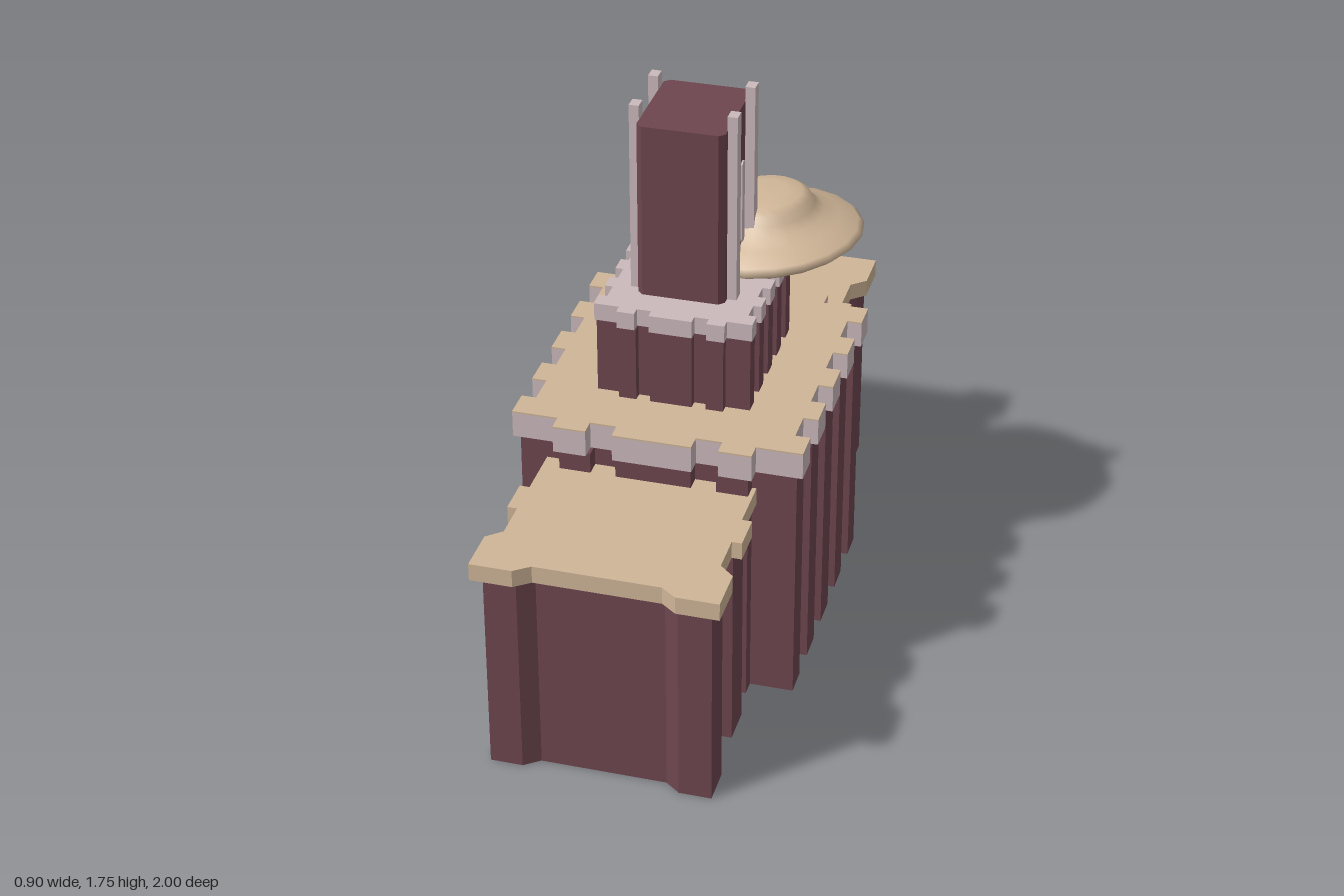
import * as THREE from 'three';

export function createModel() {
  const model = new THREE.Group();
  const mat = (name, color, extra = {}) => {
    const m = new THREE.MeshStandardMaterial({ color, ...extra });
    m.name = name;
    return m;
  };
  const brick = mat('dark red brick', 0x6e464f);
  const tan = mat('tan stone', 0xcfb597);
  const pale = mat('pale pink stone', 0xcbb9bc);

  const add = (name, geometry, material, x = 0, y = 0, z = 0) => {
    const mesh = new THREE.Mesh(geometry, material);
    mesh.name = name;
    mesh.position.set(x, y, z);
    model.add(mesh);
    return mesh;
  };

  // Mirror one quarter of a floor plan into a closed outline
  const mirrorPlan = (q) => {
    const r = [...q].reverse();
    return [
      ...q,
      ...r.map(([x, z]) => [x, -z]),
      ...q.map(([x, z]) => [-x, -z]),
      ...r.map(([x, z]) => [-x, z]),
    ];
  };

  // Raise a floor plan from y0 to y1
  const slab = (name, quarter, y0, y1, cx, material, sx = 1, sz = 1) => {
    const pts = mirrorPlan(quarter).map(([x, z]) => new THREE.Vector2(x * sx, z * sz));
    const g = new THREE.ExtrudeGeometry(new THREE.Shape(pts), { depth: y1 - y0, bevelEnabled: false });
    g.rotateX(-Math.PI / 2);
    return add(name, g, material, cx, y0, 0);
  };

  // Long wings with flared corners and side pilasters
  const wingPlan = (i) => [
    [0.19, 0.965 - i], [0.237, 1 - i], [0.365 - i, 1 - i], [0.365 - i, 0.86],
    [0.32 - i, 0.82], [0.32 - i, 0.7 - i / 2], [0.35 - i, 0.7 - i / 2],
    [0.35 - i, 0.585 - i / 2], [0.32 - i, 0.585 - i / 2], [0.32 - i, 0.4],
  ];
  slab('wingWalls', wingPlan(0.03), 0, 0.66, -0.03, brick);
  slab('wingRoof', wingPlan(0), 0.66, 0.715, -0.03, tan);

  // Crenellated plan shared by the central block and the upper tier
  const tierPlan = [
    [0.12, 0.48], [0.12, 0.43], [0.2, 0.43], [0.2, 0.48], [0.3, 0.48], [0.3, 0.43],
    [0.44, 0.43], [0.44, 0.34], [0.395, 0.34], [0.395, 0.24], [0.44, 0.24],
    [0.44, 0.145], [0.395, 0.145], [0.395, 0.05], [0.44, 0.05],
  ];
  const cx = -0.01;
  slab('centralWalls', tierPlan, 0, 0.78, cx, brick, 0.955, 0.97);
  slab('centralCornice', tierPlan, 0.78, 0.861, cx, pale);
  slab('centralRoof', tierPlan, 0.861, 0.866, cx, tan);
  slab('upperWalls', tierPlan, 0.86, 1.105, cx, brick, 0.53, 0.563);
  slab('upperCornice', tierPlan, 1.105, 1.16, cx, pale, 0.543, 0.573);

  // Flat plate with rounded ends, turned to face +x
  const plate = (w, h, r) => {
    const s = new THREE.Shape();
    const a = w / 2, b = h / 2;
    s.moveTo(-a + r, -b).lineTo(a - r, -b).quadraticCurveTo(a, -b, a, -b + r);
    s.lineTo(a, b - r).quadraticCurveTo(a, b, a - r, b);
    s.lineTo(-a + r, b).quadraticCurveTo(-a, b, -a, b - r);
    s.lineTo(-a, -b + r).quadraticCurveTo(-a, -b, -a + r, -b);
    const g = new THREE.ExtrudeGeometry(s, { depth: 0.008, bevelEnabled: false, curveSegments: 4 });
    return g.translate(0, 0, -0.004).rotateY(Math.PI / 2);
  };

  // Windows set in the recesses of the central block
  const windowPlate = plate(0.068, 0.2, 0.018);
  for (const side of [-1, 1])
    for (const z of [-0.28, -0.095, 0.095, 0.28])
      add('wallWindow', windowPlate, tan, cx + side * 0.379, 0.507, z);

  // Tower shaft with chamfered corners
  const tx = -0.0125;
  slab('tower', [[0.115, 0.158], [0.132, 0.142]], 1.15, 1.71, tx, brick);

  // Tower posts and slit windows on both sides
  const slit = plate(0.028, 0.265, 0.012);
  for (const side of [-1, 1]) {
    for (const z of [-0.1, 0.1])
      add('towerPost', new THREE.BoxGeometry(0.03, 0.6, 0.04), pale, tx + side * 0.146, 1.455, z);
    for (const z of [-0.047, 0, 0.047])
      add('towerSlit', slit, pale, tx + side * 0.133, 1.4, z);
  }

  // Tilted saucer beside the tower
  const profile = [
    [0, -0.048], [0.1, -0.046], [0.2, -0.036], [0.265, -0.018], [0.291, 0],
    [0.275, 0.018], [0.22, 0.046], [0.175, 0.068], [0.15, 0.092], [0.138, 0.118],
    [0.115, 0.134], [0.07, 0.141], [0, 0.143],
  ].map(([r, y]) => new THREE.Vector2(r, y));
  const saucer = add('saucer', new THREE.LatheGeometry(profile, 20), tan, 0.156, 1.205, -0.23);
  saucer.rotation.z = 0.1;

  return model;
}
